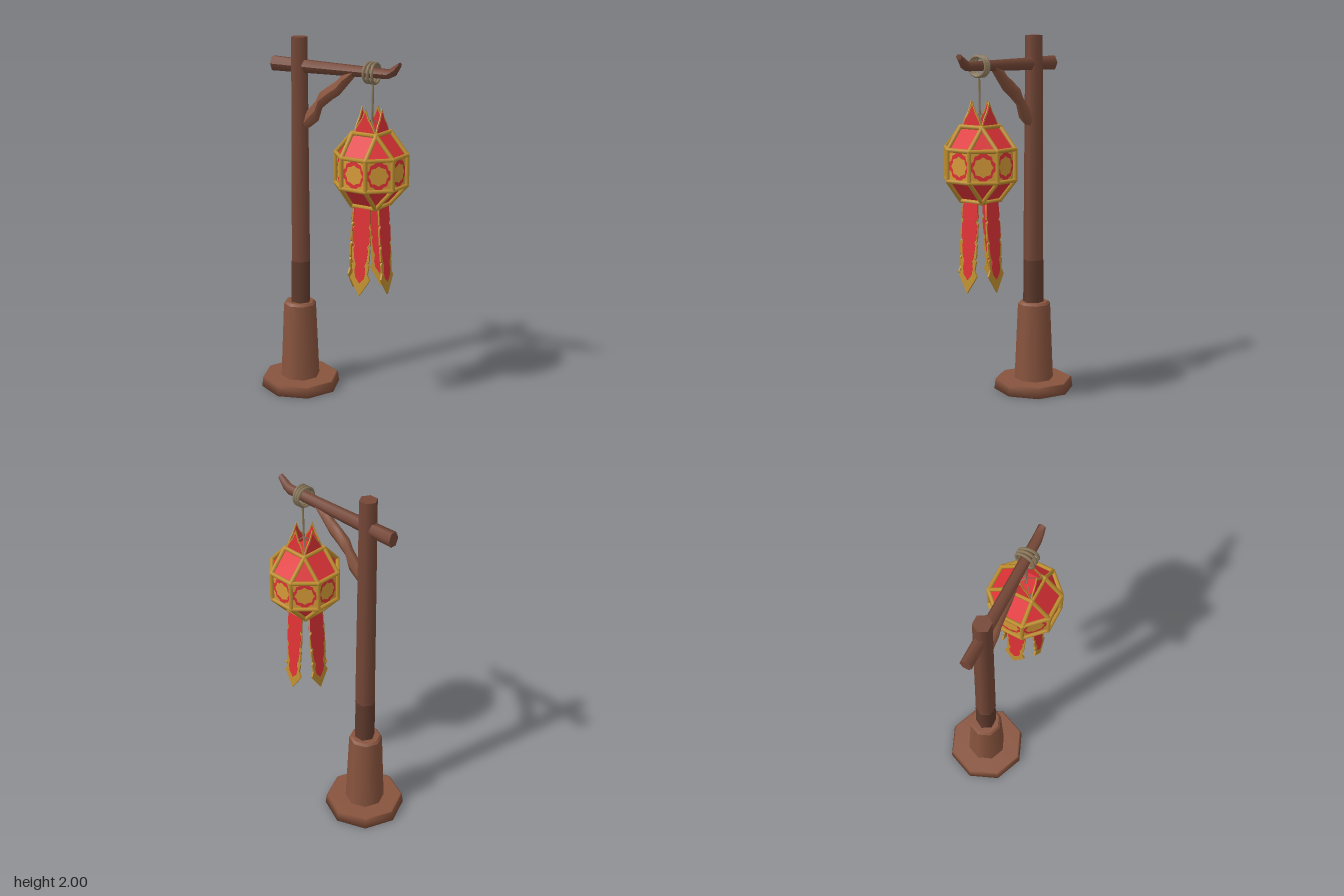
import * as THREE from 'three';
import { ConvexGeometry } from 'three/addons/geometries/ConvexGeometry.js';

const material = (name, color, flatShading = false) => {
  const m = new THREE.MeshStandardMaterial({ color, flatShading });
  m.name = name;
  return m;
};

export function createModel() {
  const wood = material('brown wood', 0x88543e);
  const darkWood = material('dark wood', 0x754737);
  const weathered = material('weathered wood', 0x5f3a2d);
  const red = material('red cloth', 0xdf3236, true);
  const gold = material('gold trim', 0xc09030);
  const paint = material('gold paint', 0xd69a38);
  const rope = material('rope', 0x8a785c);

  const model = new THREE.Group();
  model.name = 'hangingLantern';

  const add = (parent, name, geometry, mat, x = 0, y = 0, z = 0) => {
    const mesh = new THREE.Mesh(geometry, mat);
    mesh.name = name;
    mesh.position.set(x, y, z);
    parent.add(mesh);
    return mesh;
  };

  // Straight rod between two points
  const V = (x, y, z) => new THREE.Vector3(x, y, z);
  const rod = (parent, name, a, b, r, sides, mat) => {
    const d = b.clone().sub(a);
    const mesh = add(parent, name, new THREE.CylinderGeometry(r, r, d.length(), sides), mat);
    mesh.position.copy(a).add(b).multiplyScalar(0.5);
    mesh.quaternion.setFromUnitVectors(V(0, 1, 0), d.normalize());
  };

  // Rough timber from sections [x, y, radius in y, radius in z], listed from +x to -x
  const timber = (sections, sides) => {
    const n = sections.length - 1;
    const geo = new THREE.CylinderGeometry(1, 1, 1, sides, n);
    const p = geo.attributes.position;
    for (let i = 0; i < p.count; i++) {
      const [x, y, ry, rz] = sections[Math.round((0.5 - p.getY(i)) * n)];
      p.setXYZ(i, x, y - ry * p.getX(i), rz * p.getZ(i));
    }
    geo.computeVertexNormals();
    return geo;
  };

  // Foot with a slightly hollow underside, pedestal, and post darkened near its base
  const footProfile = [[0, 0.015], [0.13, 0.012], [0.226, 0], [0.219, 0.055], [0.21, 0.06], [0, 0.06]];
  add(model, 'foot', new THREE.LatheGeometry(footProfile.map(([x, y]) => new THREE.Vector2(x, y)), 8), wood, -0.215);
  add(model, 'pedestal', new THREE.CylinderGeometry(0.092, 0.111, 0.44, 8), wood, -0.217, 0.275);
  add(model, 'pedestalShoulder', new THREE.CylinderGeometry(0.08, 0.092, 0.013, 8), wood, -0.217, 0.5015);
  add(model, 'lowerPost', new THREE.CylinderGeometry(0.0562, 0.058, 0.25, 6), weathered, -0.21, 0.625).rotation.y = Math.PI / 6;
  add(model, 'post', new THREE.CylinderGeometry(0.048, 0.0562, 1.25, 6), darkWood, -0.208, 1.375).rotation.y = Math.PI / 6;

  // Crossbeam with upturned tip, and its crooked brace
  add(model, 'crossbeam', timber([
    [0.415, 1.898, 0.015, 0.02], [0.388, 1.868, 0.03, 0.024], [0.35, 1.847, 0.027, 0.028],
    [-0.1, 1.845, 0.037, 0.031], [-0.38, 1.845, 0.044, 0.033]], 6), darkWood);
  add(model, 'brace', timber([
    [0.14, 1.835, 0.02, 0.026], [0.08, 1.79, 0.045, 0.028], [0.04, 1.747, 0.046, 0.028],
    [-0.01, 1.715, 0.046, 0.028], [-0.07, 1.67, 0.05, 0.028], [-0.095, 1.61, 0.064, 0.028],
    [-0.15, 1.56, 0.055, 0.026], [-0.18, 1.53, 0.03, 0.02]], 6), wood);

  // Rope coils over the beam and the hanging cord
  [-1, 0, 1].forEach((k) => {
    const coil = add(model, 'ropeCoil', new THREE.TorusGeometry(0.052, 0.008, 6, 20), rope, 0.252 + k * 0.02, 1.845);
    coil.rotation.set(0, Math.PI / 2 + k * 0.1, 0);
  });
  rod(model, 'hangingCord', V(0.257, 1.8, 0), V(0.252, 1.54, 0), 0.006, 6, rope);

  // Lantern frame: a 26-sided cage, slightly taller than wide
  const lantern = new THREE.Group();
  lantern.name = 'lantern';
  lantern.position.set(0.25, 1.338, 0);
  model.add(lantern);
  const a = 0.0735, b = 0.1765, tall = 1.11;
  const corners = [];
  for (let axis = 0; axis < 3; axis++)
    for (let s = 0; s < 8; s++)
      corners.push(V(...[0, 1, 2].map((i) => (s >> i & 1 ? 1 : -1) * (i === axis ? b : a))));
  const stretch = (v, k = 1) => V(v.x * k, v.y * tall * k, v.z * k);
  corners.forEach((p, i) => {
    add(lantern, 'frameJoint', new THREE.IcosahedronGeometry(0.012, 1), gold).position.copy(stretch(p));
    corners.slice(i + 1).forEach((q) => {
      if (p.distanceTo(q) < a * 2.1) rod(lantern, 'frameBar', stretch(p), stretch(q), 0.0115, 6, gold);
    });
  });
  add(lantern, 'clothPanels', new ConvexGeometry(corners.map((c) => stretch(c, 0.95))), red);

  // Gold flowers and corner pieces on the middle band
  const shape = (points) => new THREE.Shape(points.map(([x, y]) => new THREE.Vector2(x, y)));
  const corner = [[-0.068, -0.076], [-0.014, -0.076], [-0.026, -0.062], [-0.045, -0.055], [-0.052, -0.03], [-0.068, -0.018]];
  const cornerShapes = [
    shape(corner),
    shape(corner.map(([x, y]) => [-x, y])),
    shape(corner.map(([x, y]) => [x * 0.97, -y])),
    shape(corner.map(([x, y]) => [-x * 0.97, -y])),
  ];
  const flower = Array.from({ length: 16 }, (_, k) => {
    const r = k % 2 ? 0.046 : 0.054, t = k * Math.PI / 8;
    return [r * Math.cos(t), r * Math.sin(t)];
  });
  const paintZ = b * 0.95 + 0.003;
  for (let i = 0; i < 8; i++) {
    const side = new THREE.Group();
    side.name = 'bandPanelPattern';
    side.rotation.y = i * Math.PI / 4;
    lantern.add(side);
    add(side, 'goldFlower', new THREE.ShapeGeometry(shape(flower)), paint, 0, -0.002, paintZ);
    cornerShapes.forEach((s) => add(side, 'goldCorner', new THREE.ShapeGeometry(s), paint, 0, 0, paintZ));
  }

  // Flat plate centred on z = 0 from half an outline [x, y] ending on the axis, mirrored in x
  const plate = (half, depth) => {
    const mirrored = half.slice(0, -1).reverse().map(([x, y]) => [-x, y]);
    const geo = new THREE.ExtrudeGeometry(shape([...half, ...mirrored]), { depth, bevelEnabled: false });
    return geo.translate(0, 0, -depth / 2);
  };
  const goldTail = [[0.048, 0], [0.053, -0.09], [0.042, -0.1], [0.056, -0.11], [0.055, -0.2], [0.044, -0.21],
    [0.055, -0.22], [0.053, -0.29], [0.044, -0.3], [0.054, -0.31], [0.046, -0.36], [0.062, -0.39], [0, -0.485]];
  const redTail = [[0.047, 0], [0.052, -0.08], [0.041, -0.1], [0.053, -0.12], [0.05, -0.19], [0.038, -0.21],
    [0.045, -0.23], [0.037, -0.29], [0.027, -0.31], [0.034, -0.35], [0.026, -0.385], [0, -0.415]];
  const goldPetal = [[0.068, 0], [0.047, 0.045], [0.022, 0.08], [0, 0.132]];
  const redPetal = [[0.061, 0], [0.041, 0.042], [0.017, 0.075], [0, 0.115]];

  // Four petals above, four hanging tails below, with cords to the top corners
  for (let i = 0; i < 4; i++) {
    const side = new THREE.Group();
    side.name = 'petalAndTail';
    side.rotation.y = i * Math.PI / 2;
    lantern.add(side);
    [['petalTrim', goldPetal, 0.006, gold], ['petal', redPetal, 0.009, red]].forEach(([n, h, d, m]) => {
      add(side, n, plate(h, d), m, 0, b * tall, a - 0.008).rotation.x = -0.04;
    });
    [['tailTrim', goldTail, 0.009, gold], ['tail', redTail, 0.012, red]].forEach(([n, h, d, m]) => {
      add(side, n, plate(h, d), m, 0, -b * tall, a + 0.003).rotation.x = -0.068;
    });
    rod(side, 'cornerCord', V(0, 0.265, 0), V(a, b * tall, a), 0.003, 5, rope);
  }
  return model;
}
